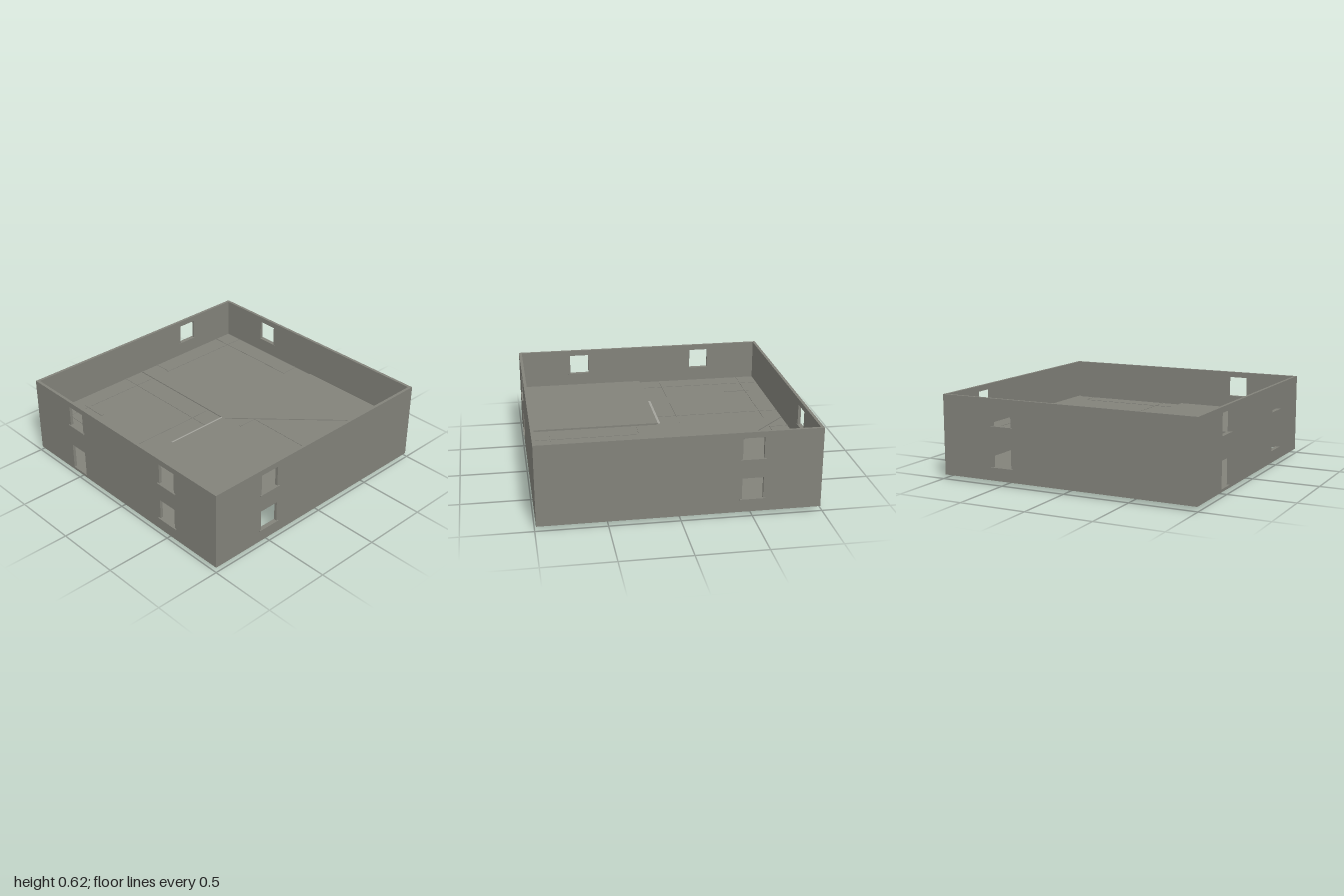
import * as THREE from 'three';

const WALL = new THREE.MeshStandardMaterial({ color: 0x82827a });
const INNER = new THREE.MeshStandardMaterial({ color: 0xa3a39c });
const OUT = 0.99, IN = 0.968, BASE = 0.03, TOP = 0.62;

function add(parent, name, geometry, material = WALL) {
  const mesh = new THREE.Mesh(geometry, material);
  mesh.name = name;
  parent.add(mesh);
  return mesh;
}

// Box given by its minimum and maximum on each axis
function box(parent, name, [x0, x1], [y0, y1], [z0, z1], material) {
  const mesh = add(parent, name, new THREE.BoxGeometry(x1 - x0, y1 - y0, z1 - z0), material);
  mesh.position.set((x0 + x1) / 2, (y0 + y1) / 2, (z0 + z1) / 2);
  return mesh;
}

const polygon = (points) => new THREE.Shape(points.map(([x, y]) => new THREE.Vector2(x, y)));
const rect = (x0, x1, y0, y1) => polygon([[x0, y0], [x1, y0], [x1, y1], [x0, y1]]);

// Upright panel with rectangular openings, extruded along z
function panel(x0, x1, y0, y1, depth, openings) {
  const shape = rect(x0, x1, y0, y1);
  openings.forEach((o) => shape.holes.push(rect(...o)));
  return new THREE.ExtrudeGeometry(shape, { depth, bevelEnabled: false });
}

// Flat slab from an outline in x and z
function slab(parent, name, outline, top, thickness) {
  const geometry = new THREE.ExtrudeGeometry(polygon(outline), { depth: thickness, bevelEnabled: false });
  geometry.rotateX(Math.PI / 2);
  add(parent, name, geometry).position.y = top;
}

// Outer wall with its windows, sills and optional door
function outerWall(parent, name, angle, halfWidth, windows, door) {
  const group = new THREE.Group();
  group.name = name;
  group.rotation.y = angle;
  const openings = windows.map(([u, y]) => [u - 0.075, u + 0.075, y, y + 0.155]);
  if (door) openings.push([door - 0.075, door + 0.075, 0.05, 0.25]);
  add(group, 'wallPanel', panel(-halfWidth, halfWidth, BASE, TOP, OUT - IN, openings)).position.z = IN;
  windows.forEach(([u, y]) =>
    box(group, 'windowSill', [u - 0.09, u + 0.09], [y - 0.008, y], [0.966, 1]));
  parent.add(group);
}

export function createModel() {
  const model = new THREE.Group();
  model.name = 'twoStoreyShell';
  const LOW = 0.127, HIGH = 0.423;
  const column = (u) => [[u, LOW], [u, HIGH]];

  // Outer walls
  outerWall(model, 'frontWall', 0, OUT, [[-0.5, HIGH], ...column(0.5)], -0.5);
  outerWall(model, 'backWall', Math.PI, OUT, column(0.5));
  outerWall(model, 'leftWall', Math.PI / 2, IN, column(-0.5));
  outerWall(model, 'rightWall', -Math.PI / 2, IN, column(-0.5));

  // Ground floor, open in one triangle
  slab(model, 'groundFloor',
    [[-IN, -IN], [IN, -IN], [IN, 0], [0, 0], [IN, IN], [-IN, IN]], 0.05, 0.02);

  // Upper floor with its raised areas
  slab(model, 'upperFloor', [[-IN, -IN], [IN, -IN], [IN, IN], [-IN, IN]], 0.315, 0.015);
  slab(model, 'raisedFloor', [[0, 0], [IN, 0], [IN, IN], [0, IN]], 0.328, 0.013);
  slab(model, 'raisedFloor', [[-IN, 0], [0, -IN], [IN, -IN], [0, 0]], 0.322, 0.007);

  // Thin floor ribs: [x range, z range]
  const t = 0.004;
  const alongZ = [[-0.83, 0.02, IN], [-0.17, 0.02, IN], [-0.83, -IN, -0.16], [-0.17, -IN, -0.83],
    [0.825, -0.83, -0.02], [0.165, -0.17, -0.02]];
  const alongX = [[0.16, -IN, -0.02], [0.82, -IN, -0.02], [-0.83, -IN, -0.16], [-0.17, -IN, -0.83],
    [-0.83, 0.825, IN], [-0.17, 0.165, IN]];
  alongZ.forEach(([x, a, b]) => box(model, 'floorRib', [x - t, x + t], [0.314, 0.318], [a, b]));
  alongX.forEach(([z, a, b]) => box(model, 'floorRib', [a, b], [0.314, 0.318], [z - t, z + t]));
  box(model, 'floorPlate', [-0.86, -0.66], [0.314, 0.319], [0.625, 0.65]);

  // Ground storey partitions
  box(model, 'partition', [-0.02, -0.001], [0.029, 0.322], [0, 0.5], INNER);
  add(model, 'partitionWithDoor',
    panel(-IN, -0.02, 0.029, 0.3, 0.02, [[-0.575, -0.425, 0.05, 0.25]]), INNER).position.z = -0.01;

  // Fittings under the ground floor
  box(model, 'underfloorBlock', [0.02, 0.125], [0, BASE], [-0.18, -0.075]);
  box(model, 'underfloorPlate', [-0.28, -0.225], [0.018, BASE], [0.56, 0.64]);
  box(model, 'underfloorPlate', [-0.65, -0.56], [0.026, BASE], [-0.57, -0.51]);
  return model;
}
